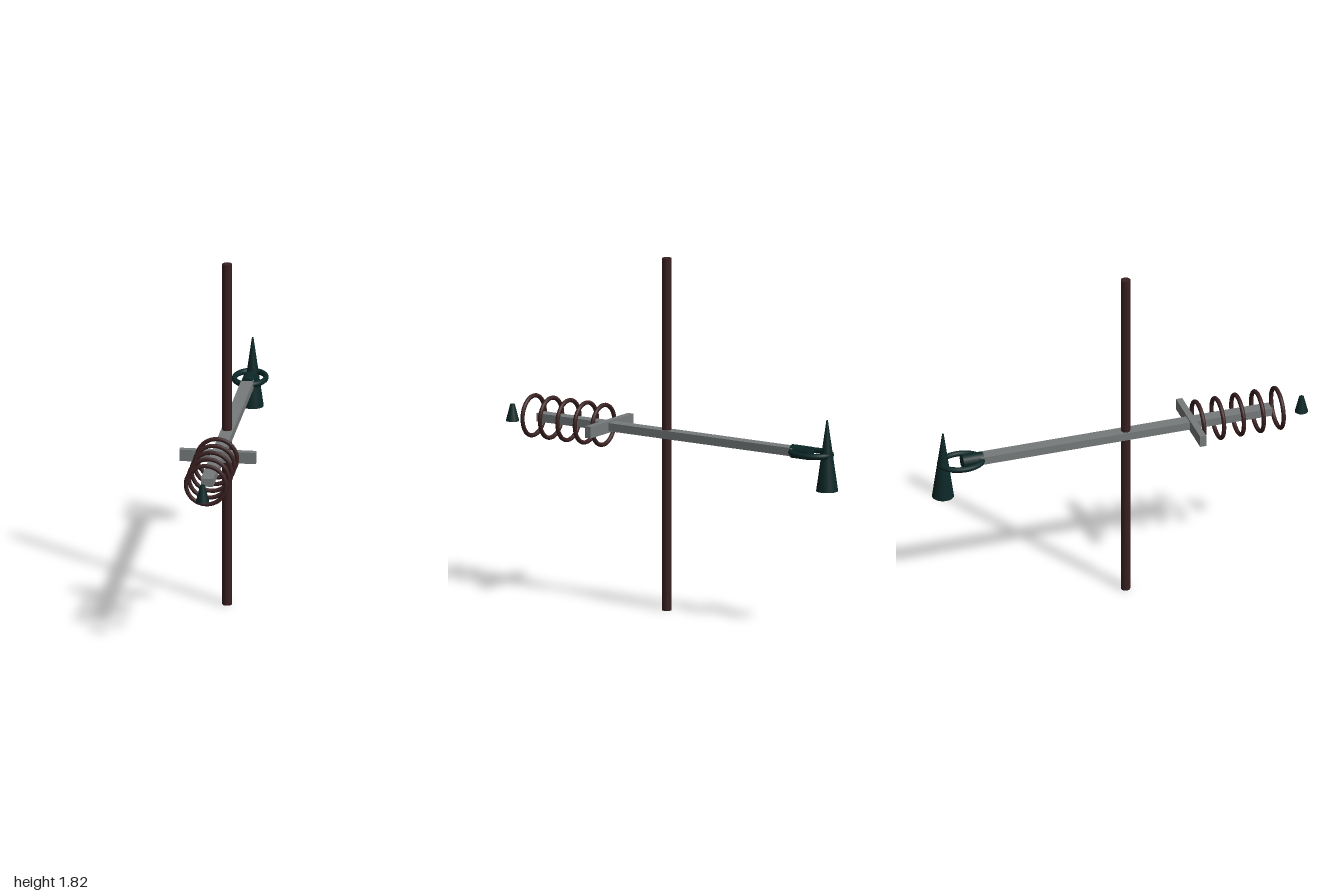
import * as THREE from 'three';

export function createModel() {
  const model = new THREE.Group();
  const material = (name, color, flatShading = false) => {
    const m = new THREE.MeshStandardMaterial({ color, flatShading });
    m.name = name;
    return m;
  };
  const steel = material('grey steel', 0x777b7c);
  const maroon = material('dark maroon', 0x3a2021);
  const teal = material('dark teal', 0x0b2727);

  const add = (name, geometry, mat, x, y, z) => {
    const mesh = new THREE.Mesh(geometry, mat);
    mesh.name = name;
    mesh.position.set(x, y, z);
    model.add(mesh);
    return mesh;
  };
  const axisY = 0.912;

  // Upright pole
  add('pole', new THREE.CylinderGeometry(0.025, 0.025, 1.82, 8), maroon, 0, 0.91, 0.03);

  // Long beam and crossbar
  add('beam', new THREE.BoxGeometry(0.063, 0.042, 1.55), steel, 0, axisY, 0.025);
  add('crossbar', new THREE.BoxGeometry(0.39, 0.06, 0.033), steel, 0, axisY, 0.379);

  // Row of rings around the front of the beam
  const ring = new THREE.TorusGeometry(0.102, 0.011, 10, 40);
  for (let i = 0; i < 5; i++) add('coilRing' + (i + 1), ring, maroon, 0, axisY, 0.415 + i * 0.1057);

  // Blunt cone floating at the front
  add('frontTip', new THREE.CylinderGeometry(0.012, 0.034, 0.086, 20), teal, 0, 0.912, 0.966);

  // Collar on the back end of the beam
  add('collar', new THREE.CylinderGeometry(0.035, 0.035, 0.11, 16).rotateX(Math.PI / 2), teal, 0, axisY, -0.787);

  // Flat oval loop joining the collar to the spike
  const loop = new THREE.TorusGeometry(0.08, 0.013, 10, 40).rotateX(Math.PI / 2).scale(1, 1.15, 1.35);
  add('loop', loop, teal, 0, axisY, -0.846);

  // Tall spike at the back
  add('spike', new THREE.CylinderGeometry(0.004, 0.056, 0.365, 24), teal, 0, 0.9125, -0.943);

  return model;
}
